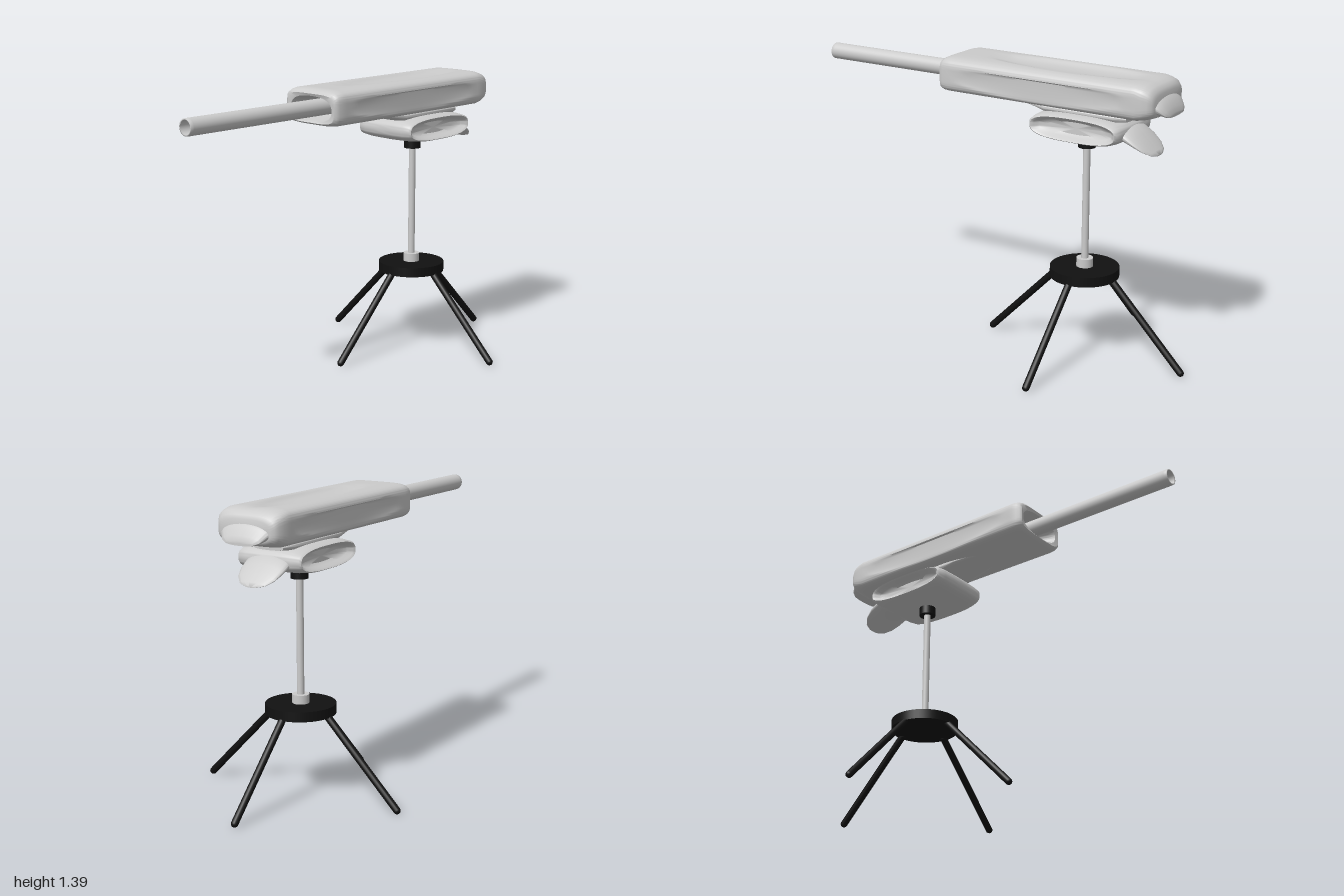
import * as THREE from 'three';
import { toCreasedNormals } from 'three/addons/utils/BufferGeometryUtils.js';

const grey = new THREE.MeshStandardMaterial({ color: 0xcccccc, side: THREE.DoubleSide });
const black = new THREE.MeshStandardMaterial({ color: 0x111111 });
const AXIS_Z = -0.47; // tripod axis

// Skin a list of superellipse rings [z, halfWidth, centreY, halfHeight, power], running back to front
function loft(rings, move, sides = 72) {
  const pos = [], index = [];
  const spow = (v, p) => Math.sign(v) * Math.abs(v) ** (2 / p);
  for (const [z, w, cy, h, p = 2] of rings) {
    for (let j = 0; j < sides; j++) {
      const a = (j / sides) * Math.PI * 2;
      const v = new THREE.Vector3(w * spow(Math.cos(a), p), cy + h * spow(Math.sin(a), p), z);
      if (move) move(v);
      pos.push(v.x, v.y, v.z);
    }
  }
  const n = rings.length;
  for (let i = 0; i < n - 1; i++) {
    for (let j = 0; j < sides; j++) {
      const k = (j + 1) % sides, a = i * sides + j, b = i * sides + k;
      index.push(a, b, b + sides, a, b + sides, a + sides);
    }
  }
  // close both ends
  for (const [ring, flip] of [[0, true], [n - 1, false]]) {
    const c = pos.length / 3;
    pos.push(0, rings[ring][2], rings[ring][0]);
    for (let j = 0; j < sides; j++) {
      const a = ring * sides + j, b = ring * sides + ((j + 1) % sides);
      index.push(c, ...(flip ? [b, a] : [a, b]));
    }
  }
  const g = new THREE.BufferGeometry();
  g.setAttribute('position', new THREE.Float32BufferAttribute(pos, 3));
  g.setIndex(index);
  return toCreasedNormals(g, 0.75);
}

export function createModel() {
  const model = new THREE.Group();
  model.name = 'mountedGun';
  const add = (name, geometry, material, x = 0, y = 0, z = 0) => {
    const m = new THREE.Mesh(geometry, material);
    m.name = name;
    m.position.set(x, y, z);
    model.add(m);
    return m;
  };

  // Tripod base: plate, collar, pole and clamp
  add('basePlate', new THREE.CylinderGeometry(0.165, 0.165, 0.047, 48), black, 0, 0.42, AXIS_Z);
  add('poleCollar', new THREE.CylinderGeometry(0.04, 0.04, 0.042, 32), grey, 0, 0.464, AXIS_Z);
  add('pole', new THREE.CylinderGeometry(0.017, 0.017, 0.58, 24), grey, 0, 0.755, AXIS_Z);
  add('poleClamp', new THREE.CylinderGeometry(0.041, 0.041, 0.042, 32), black, 0, 1.05, AXIS_Z);

  // Four splayed legs
  for (let i = 0; i < 4; i++) {
    const a = (i * Math.PI) / 2;
    const dir = new THREE.Vector3(Math.cos(a), 0, Math.sin(a));
    const top = dir.clone().multiplyScalar(0.145).setY(0.4);
    const foot = dir.clone().multiplyScalar(0.52).setY(0.017);
    const axis = top.clone().sub(foot);
    const leg = add('leg', new THREE.CapsuleGeometry(0.017, axis.length(), 6, 16), black);
    leg.position.copy(top).add(foot).multiplyScalar(0.5);
    leg.position.z += AXIS_Z;
    leg.quaternion.setFromUnitVectors(new THREE.Vector3(0, 1, 0), axis.normalize());
  }

  // Upper housing: rounded box with a hollow nose
  const rings = [
    [-0.875, 0.13, 1.3, 0.05, 3],
    [-0.868, 0.148, 1.305, 0.062, 3.5],
    [-0.85, 0.16, 1.31, 0.073, 4],
    [-0.82, 0.167, 1.31, 0.081, 4.5],
  ];
  for (let i = 0; i <= 50; i++) rings.push([-0.79 + i * 0.0198, 0.17, 1.31, 0.085, 5]);
  rings.push(
    [0.225, 0.167, 1.309, 0.082, 5],
    [0.242, 0.162, 1.308, 0.076, 5],
    [0.25, 0.152, 1.306, 0.068, 4.5],
    [0.245, 0.132, 1.303, 0.06, 2.5],
    [0.21, 0.125, 1.303, 0.055, 2.3],
    [0.15, 0.105, 1.303, 0.048, 2],
    [0.1, 0.07, 1.303, 0.042, 2],
    [0.08, 0.03, 1.303, 0.03, 2],
  );
  const dent = (u, v) => {
    const t = Math.max(0, 1 - u * u - v * v);
    return t * (2 - t);
  };
  add('housing', loft(rings, (v) => {
    if (v.z > 0.21 || v.z < -0.8) return;
    // long hollow in the top, shallow hollows in the sides
    if (v.y > 1.35) v.y -= 0.022 * dent(v.x / 0.1, (v.z + 0.37) / 0.44);
    else if (Math.abs(v.x) > 0.14) v.x -= Math.sign(v.x) * 0.009 * dent((v.y - 1.308) / 0.062, (v.z + 0.3) / 0.49);
  }, 112), grey);

  // Sloping rear cap
  add('rearCap', loft([
    [-0.918, 0.075, 1.252, 0.01],
    [-0.908, 0.098, 1.262, 0.022],
    [-0.885, 0.12, 1.283, 0.041],
    [-0.85, 0.13, 1.295, 0.05],
    [-0.82, 0.13, 1.3, 0.052],
  ]), grey);

  // Barrel: open tube
  const barrel = add('barrel', new THREE.LatheGeometry([
    [0.04, 0.05], [0.04, 0.985], [0.04, 0.985], [0.039, 1], [0.034, 1], [0.034, 1], [0.034, 0.3], [0.034, 0.3], [0, 0.3],
  ].map(([r, y]) => new THREE.Vector2(r, y)), 40), grey, 0, 1.305, 0);
  barrel.rotation.x = Math.PI / 2;

  // Neck joining the housing to the lower pod
  add('neck', loft([
    [-0.71, 0.08, 1.208, 0.015, 3],
    [-0.66, 0.11, 1.213, 0.025, 3],
    [-0.3, 0.11, 1.213, 0.025, 3],
    [-0.22, 0.1, 1.225, 0.016, 3],
    [-0.05, 0.07, 1.238, 0.013, 3],
  ]), grey);

  // Lower pod: lofted sideways, with an oval recess in each end
  const half = [
    [0.125, 0.14, 0, 0.028, 2],
    [0.14, 0.19, 0, 0.04, 2.3],
    [0.162, 0.205, 0, 0.046, 2.5],
    [0.17, 0.218, 0, 0.053, 2.7],
    [0.16, 0.227, 0, 0.058, 2.9],
    [0.12, 0.233, 0, 0.062, 3],
    [0.06, 0.235, 0, 0.064, 3],
  ];
  const pod = add('lowerPod', loft([
    ...half.map(([z, ...r]) => [-z, ...r]),
    [0, 0.235, 0, 0.065, 3],
    ...half.slice().reverse(),
  ]), grey, 0, 1.146, -0.483);
  pod.rotation.y = Math.PI / 2;

  // Tongue-shaped rear flap
  add('rearFlap', loft([
    [-0.843, 0.03, 1.052, 0.004],
    [-0.83, 0.068, 1.061, 0.009],
    [-0.8, 0.098, 1.082, 0.018],
    [-0.76, 0.112, 1.108, 0.029],
    [-0.71, 0.115, 1.134, 0.039],
    [-0.66, 0.11, 1.14, 0.04],
  ]), grey);

  return model;
}
